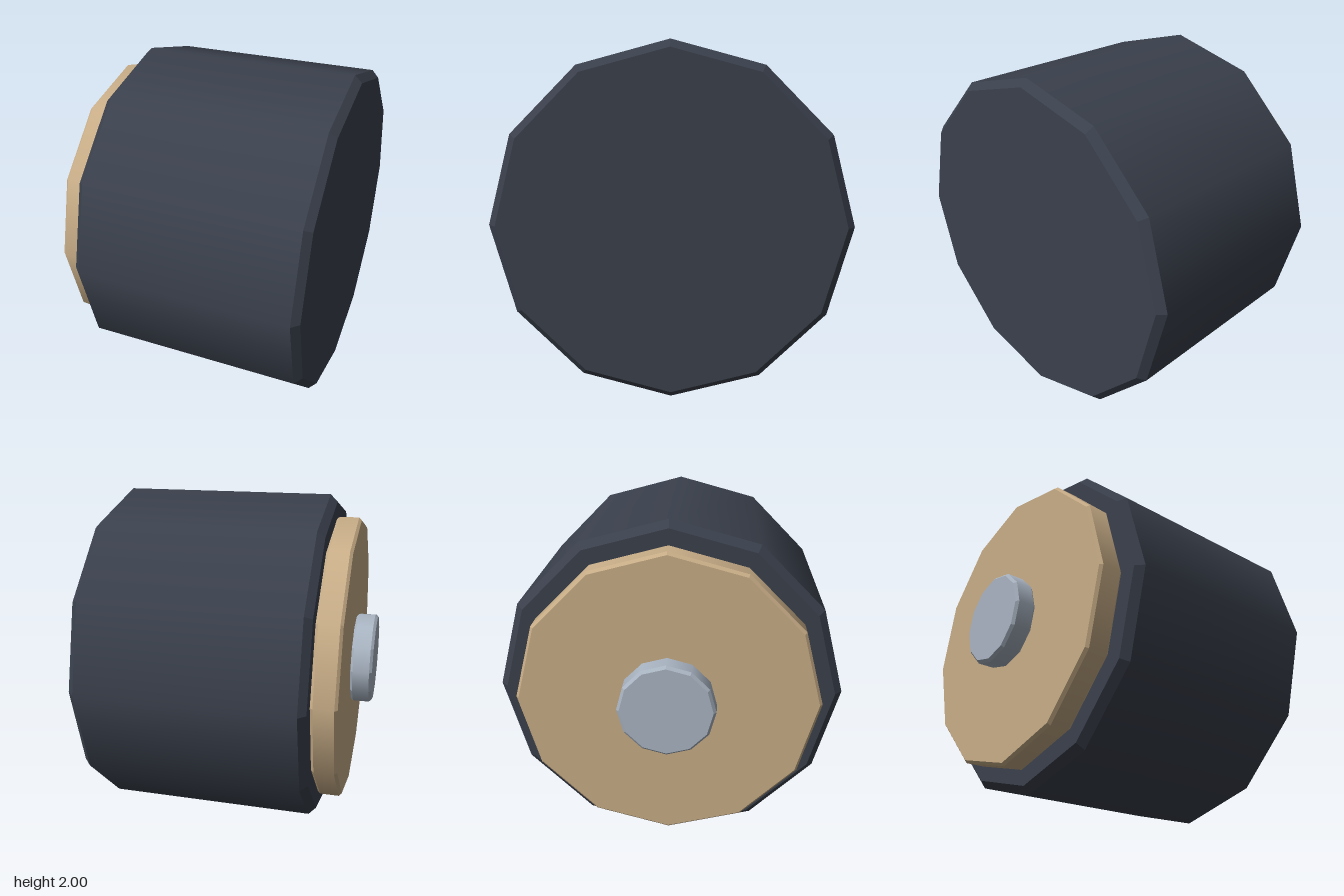
import * as THREE from 'three';

const SIDES = 12;
const mat = (name, color) => {
  const m = new THREE.MeshStandardMaterial({ color });
  m.name = name;
  return m;
};

// Bevelled 12-sided drum along x: smooth wall, flat bevels, flat end caps
function drum(name, x0, x1, radius, bevel, material) {
  const group = new THREE.Group();
  group.name = name;
  const add = (part, geometry, x) => {
    geometry.rotateZ(-Math.PI / 2);
    const mesh = new THREE.Mesh(geometry, material);
    mesh.name = part;
    mesh.position.x = x;
    group.add(mesh);
  };
  const inner = radius - bevel;
  add('wall', new THREE.CylinderGeometry(radius, radius, x1 - x0 - 2 * bevel, SIDES, 1, true), (x0 + x1) / 2);
  for (const [side, x, dir] of [['left', x1, 1], ['right', x0, -1]]) {
    const top = dir > 0 ? inner : radius;
    const bottom = dir > 0 ? radius : inner;
    const ring = new THREE.CylinderGeometry(top, bottom, bevel, SIDES, 1, true).toNonIndexed();
    ring.computeVertexNormals();
    add(side + 'Bevel', ring, x - dir * bevel / 2);
    const cap = new THREE.CircleGeometry(inner, SIDES);
    cap.rotateX(-dir * Math.PI / 2);
    add(side + 'Cap', cap, x);
  }
  return group;
}

export function createModel() {
  const model = new THREE.Group();
  model.name = 'wheel';
  model.add(
    drum('tyre', -0.53, 0.8, 1, 0.042, mat('dark rubber', 0x3a404c)),
    drum('rim', -0.677, -0.53, 0.87, 0.016, mat('tan', 0xc8ad87)),
    drum('hub', -0.805, -0.675, 0.278, 0.016, mat('light steel', 0xa9b4c2)),
  );
  // Axle centre sits one radius above the ground
  for (const part of model.children) part.position.y = 1;
  return model;
}
